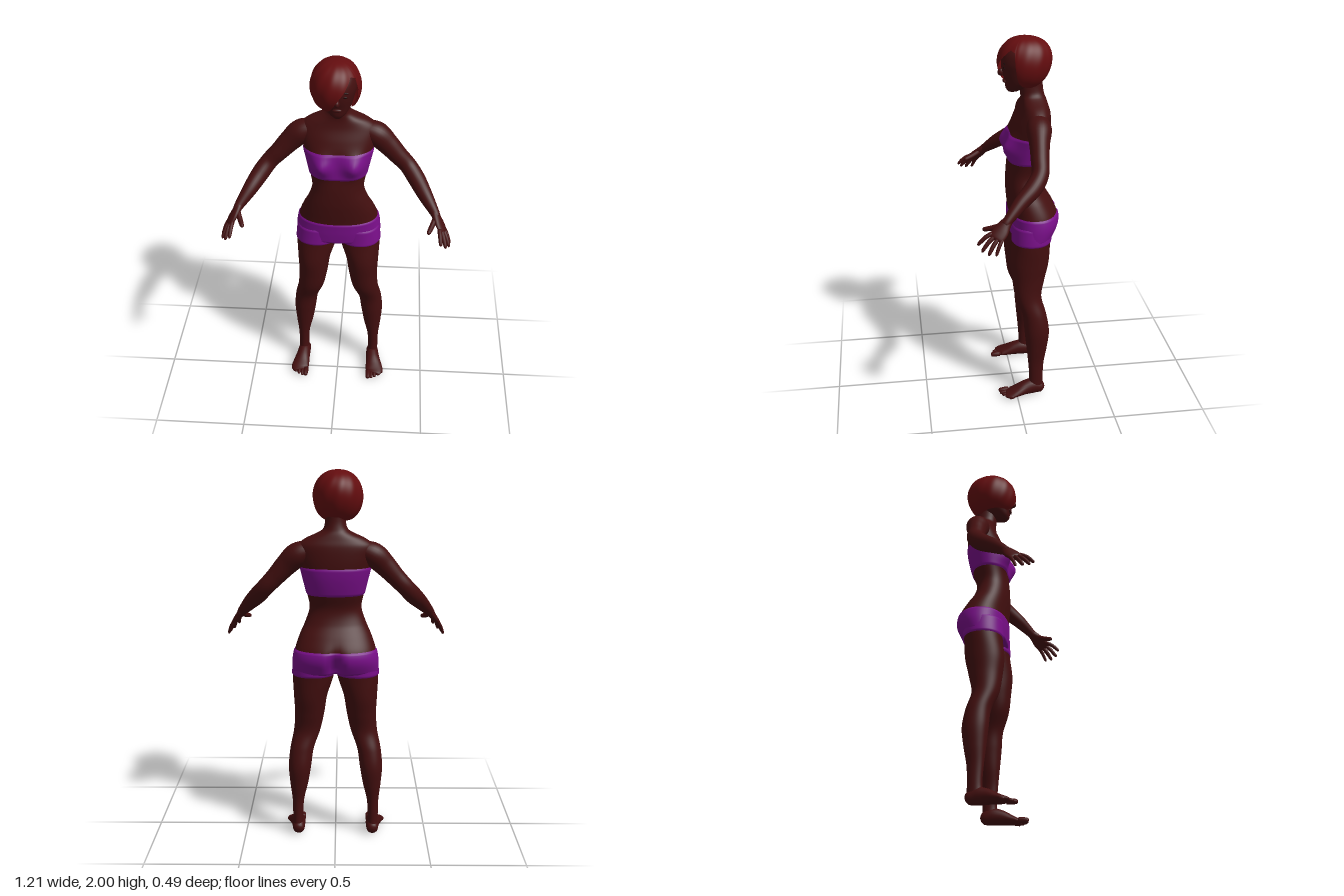
import * as THREE from 'three';

const mat = (name, color, side = THREE.FrontSide) => {
  const m = new THREE.MeshStandardMaterial({ color, side });
  m.name = name;
  return m;
};

// Grid surface closed around u; rows run along v, optional caps at both ends
function skinGrid(fn, nu, nv, capStart, capEnd) {
  const rows = [];
  for (let j = 0; j <= nv; j++) {
    const row = [];
    for (let i = 0; i < nu; i++) row.push(fn((i / nu) * Math.PI * 2, j / nv));
    rows.push(row);
  }
  const collapse = (row) => {
    const c = new THREE.Vector3();
    row.forEach((p) => c.addScaledVector(p, 1 / nu));
    return row.map(() => c);
  };
  if (capStart) rows.unshift(collapse(rows[0]));
  if (capEnd) rows.push(collapse(rows[rows.length - 1]));
  const index = [];
  for (let j = 0; j < rows.length - 1; j++) {
    for (let i = 0; i < nu; i++) {
      const a = j * nu + i, b = j * nu + ((i + 1) % nu);
      index.push(a, b, b + nu, a, b + nu, a + nu);
    }
  }
  const geo = new THREE.BufferGeometry().setFromPoints(rows.flat());
  geo.setIndex(index);
  geo.computeVertexNormals();
  return geo;
}

// Smooth interpolation of a table whose first column is the key
function sample(rows, key) {
  let k = 0;
  while (k < rows.length - 2 && key > rows[k + 1][0]) k++;
  const a = rows[k], b = rows[k + 1], p = rows[Math.max(k - 1, 0)], q = rows[Math.min(k + 2, rows.length - 1)];
  const h = b[0] - a[0], t = THREE.MathUtils.clamp((key - a[0]) / h, 0, 1);
  return a.map((v, c) => {
    const m0 = ((b[c] - p[c]) / (b[0] - p[0])) * h, m1 = ((q[c] - v) / (q[0] - a[0])) * h;
    return (2 * t ** 3 - 3 * t * t + 1) * v + (t ** 3 - 2 * t * t + t) * m0 + (3 * t * t - 2 * t ** 3) * b[c] + (t ** 3 - t * t) * m1;
  });
}

// Upright body part from rows [y, centre x, half width, front z, back z]
function upright(rows, y0, y1, nv, { grow = 0, sculpt, caps = [false, false], n = 2.2 } = {}) {
  const pow = (s) => Math.sign(s) * Math.abs(s) ** (2 / n);
  return skinGrid((a, v) => {
    const y = y0 + (y1 - y0) * v;
    const [, cx, w, zf, zb] = sample(rows, y);
    const g = grow * Math.min(1, v * 15, (1 - v) * 15);
    const x = (w + g) * pow(Math.sin(a));
    let z = (zf + zb) / 2 + ((zf - zb) / 2 + g) * pow(Math.cos(a));
    if (sculpt) z += sculpt(x, y, Math.cos(a));
    return new THREE.Vector3(cx + x, y, z);
  }, 64, nv, ...caps);
}

// Limb along a path from rows [x, y, z, radius along ref, other radius]
function limb(rows, ref, nv = 24, nu = 24) {
  const keyed = rows.map((r, i) => [i, ...r]), end = rows.length - 1;
  const at = (t) => new THREE.Vector3(...sample(keyed, t).slice(1, 4));
  return skinGrid((a, v) => {
    const t = v * end, s = sample(keyed, t);
    const dir = at(Math.min(t + 0.05, end)).sub(at(Math.max(t - 0.05, 0))).normalize();
    const u = ref.clone().addScaledVector(dir, -ref.dot(dir)).normalize();
    const w = dir.clone().cross(u);
    return at(t).addScaledVector(u, s[4] * Math.cos(a)).addScaledVector(w, s[5] * Math.sin(a));
  }, nu, nv, true, true);
}

// Finger or toe with a rounded tip
function digit(from, to, r, bend = 0) {
  const p = (t, k) => [0, 1, 2].map((c) => from[c] + (to[c] - from[c]) * t + (c === 1 ? bend * Math.sin(t * Math.PI) : 0)).concat(r * k, r * k);
  return limb([p(0, 1), p(0.45, 1), p(0.8, 0.88), p(0.94, 0.7), p(1, 0.25)], new THREE.Vector3(0.8, 0.1, 0.55), 12, 12);
}

const TORSO = [
  [0.94, 0, 0.226, 0.012, -0.21], [1.0, 0, 0.225, 0.018, -0.24], [1.04, 0, 0.22, 0.02, -0.246],
  [1.08, 0, 0.211, 0.022, -0.235], [1.14, 0, 0.19, 0.028, -0.2], [1.2, 0, 0.163, 0.032, -0.162],
  [1.28, 0, 0.138, 0.03, -0.146], [1.36, 0, 0.15, 0.022, -0.17], [1.44, 0, 0.168, 0.018, -0.19],
  [1.5, 0, 0.182, 0.012, -0.198], [1.56, 0, 0.195, -0.008, -0.2], [1.62, 0, 0.195, -0.035, -0.196],
  [1.655, 0, 0.155, -0.045, -0.186], [1.68, 0, 0.1, -0.048, -0.178], [1.7, 0, 0.066, -0.046, -0.17],
  [1.74, 0, 0.054, -0.042, -0.162], [1.8, 0, 0.053, -0.04, -0.16],
];
const LEG = [
  [0.04, 0.207, 0.03, -0.065, -0.15], [0.1, 0.208, 0.028, -0.072, -0.148], [0.2, 0.206, 0.032, -0.066, -0.152],
  [0.3, 0.2, 0.049, -0.056, -0.17], [0.4, 0.195, 0.061, -0.046, -0.181], [0.5, 0.183, 0.064, -0.036, -0.166],
  [0.6, 0.155, 0.072, 0, -0.142], [0.7, 0.141, 0.08, 0.015, -0.16], [0.8, 0.135, 0.09, 0.024, -0.182],
  [0.92, 0.119, 0.11, 0.012, -0.192], [1.02, 0.112, 0.108, 0.008, -0.2],
];
const HEAD = [
  [1.72, 0, 0.018, 0.018, -0.03], [1.738, 0, 0.042, 0.03, -0.07], [1.775, 0, 0.068, 0.036, -0.13],
  [1.83, 0, 0.085, 0.05, -0.17], [1.88, 0, 0.095, 0.052, -0.185], [1.93, 0, 0.086, 0.035, -0.175], [1.965, 0, 0.05, 0, -0.14],
];
// Lower hair edge: [azimuth in degrees from the front, polar angle in degrees]
const HAIRLINE = [
  [-180, 153], [-110, 150], [-60, 142], [-20, 139], [-8, 125], [10, 95], [30, 70],
  [46, 52], [60, 58], [68, 128], [78, 144], [120, 151], [180, 153],
];

// Chest fullness in front, cleft behind
const torsoSculpt = (x, y, c) => c > 0
  ? c ** 0.5 * 0.046 * Math.exp(-((Math.abs(x) - 0.092) ** 2) / 0.0027 - (y - 1.435) ** 2 / 0.0032)
  : (-c) ** 0.5 * 0.055 * Math.exp(-x * x / 0.0009 - (y - 0.98) ** 2 / 0.006);

export function createModel() {
  const skin = mat('skin', 0x430f0f), cloth = mat('purple cloth', 0x7a0f8a);
  const hairMat = mat('hair', 0x640d0f, THREE.DoubleSide), dark = mat('eye dark', 0x1c0606);
  const model = new THREE.Group();
  const add = (parent, name, geo, m) => {
    const mesh = new THREE.Mesh(geo, m);
    mesh.name = name;
    parent.add(mesh);
    return mesh;
  };
  const blob = (parent, name, m, pos, scale) => {
    const b = add(parent, name, new THREE.SphereGeometry(1, 20, 14), m);
    b.position.set(...pos);
    b.scale.set(...scale);
    return b;
  };

  // Torso with bandeau and shorts as close-fitting shells
  add(model, 'torso', upright(TORSO, 0.945, 1.8, 110, { sculpt: torsoSculpt }), skin);
  add(model, 'bandeau', upright(TORSO, 1.355, 1.505, 32, { sculpt: torsoSculpt, grow: 0.005 }), cloth);
  add(model, 'shorts', upright(TORSO, 0.942, 1.07, 30, { sculpt: torsoSculpt, grow: 0.005, caps: [true, false] }), cloth);

  // Head and face
  const head = new THREE.Group();
  head.name = 'head';
  model.add(head);
  add(head, 'face', upright(HEAD, 1.72, 1.965, 30, { caps: [true, true] }), skin);
  blob(head, 'nose', skin, [0, 1.822, 0.052], [0.014, 0.02, 0.02]);
  blob(head, 'lips', skin, [0, 1.776, 0.036], [0.024, 0.01, 0.01]);
  for (const s of [-1, 1]) {
    blob(head, 'eye', dark, [s * 0.036, 1.852, 0.043], [0.015, 0.006, 0.004]);
    blob(head, 'eyebrow', dark, [s * 0.038, 1.876, 0.042], [0.02, 0.004, 0.004]).rotation.z = s * -0.1;
  }

  // Bob with a swept fringe
  const edge = (deg) => {
    let k = 0;
    while (k < HAIRLINE.length - 2 && deg > HAIRLINE[k + 1][0]) k++;
    const [a0, p0] = HAIRLINE[k], [a1, p1] = HAIRLINE[k + 1];
    return p0 + ((p1 - p0) * (deg - a0)) / (a1 - a0);
  };
  const hair = skinGrid((u, v) => {
    const a = u > Math.PI ? u - 2 * Math.PI : u;
    const phi = Math.max(0.001, (1 - v) * THREE.MathUtils.degToRad(edge(THREE.MathUtils.radToDeg(a))));
    const r = Math.sin(phi) ** 0.85 * (1 + 0.01 * Math.sin(11 * a + 3 * phi));
    const back = Math.max(0, -Math.cos(a)) * Math.cos(phi) * Math.sin(phi) * 0.02;
    return new THREE.Vector3(-0.0125 + 0.13 * r * Math.sin(a), 1.865 + 0.135 * Math.cos(phi), -0.068 + 0.141 * r * Math.cos(a) - back);
  }, 120, 36, false, false);
  add(head, 'bobHair', hair, hairMat);

  // Arms and legs, mirrored across x
  const X = new THREE.Vector3(1, 0, 0), Z = new THREE.Vector3(0, 0, 1);
  const spread = new THREE.Vector3(0.49, -0.39, -0.78);
  const arm = limb([
    [0.12, 1.6, -0.113, 0.05, 0.045], [0.195, 1.57, -0.113, 0.064, 0.064], [0.255, 1.515, -0.106, 0.052, 0.058],
    [0.31, 1.455, -0.1, 0.047, 0.05], [0.365, 1.397, -0.092, 0.044, 0.046], [0.412, 1.343, -0.05, 0.045, 0.046],
    [0.46, 1.288, 0.02, 0.037, 0.039], [0.51, 1.228, 0.085, 0.025, 0.026], [0.525, 1.208, 0.105, 0.024, 0.02],
  ], Z, 48, 28);
  const palm = limb([
    [0.51, 1.228, 0.085, 0.024, 0.022], [0.525, 1.205, 0.108, 0.032, 0.02], [0.542, 1.18, 0.13, 0.04, 0.017],
    [0.557, 1.157, 0.152, 0.038, 0.013], [0.561, 1.15, 0.158, 0.03, 0.006],
  ], spread);
  const foot = limb([
    [0.205, 0.03, -0.156, 0.012, 0.012], [0.205, 0.034, -0.142, 0.03, 0.031], [0.206, 0.045, -0.1, 0.036, 0.045],
    [0.211, 0.04, -0.05, 0.04, 0.04], [0.219, 0.027, 0, 0.048, 0.027], [0.223, 0.019, 0.035, 0.05, 0.018],
    [0.218, 0.015, 0.06, 0.038, 0.012],
  ], X, 36);
  const tips = [[0.548, 1.12, 0.242], [0.575, 1.095, 0.225], [0.594, 1.083, 0.194], [0.598, 1.08, 0.158]];

  for (const [label, s] of [['left', 1], ['right', -1]]) {
    const limbs = new THREE.Group();
    limbs.name = label + 'Limbs';
    limbs.scale.x = s;
    model.add(limbs);
    add(limbs, 'arm', arm, skin);
    add(limbs, 'palm', palm, skin);
    tips.forEach((tip, i) => {
      const k = (i - 1.5) * 0.02;
      add(limbs, 'finger', digit([0.553 + k * 0.49, 1.163 - k * 0.39, 0.147 - k * 0.78], tip, i === 3 ? 0.0095 : 0.011, 0.008), skin);
    });
    add(limbs, 'thumb', digit([0.515, 1.205, 0.12], [0.48, 1.172, 0.21], 0.0135, -0.004), skin);

    add(limbs, 'leg', upright(LEG, 0.04, 1.0, 80, { caps: [true, true], n: 2.1 }), skin);
    add(limbs, 'shortsLeg', upright(LEG, 0.922, 1.02, 16, { grow: 0.005, n: 2.1 }), cloth);
    add(limbs, 'foot', foot, skin);
    for (let i = 0; i < 5; i++) {
      const x = 0.186 + i * 0.0195, r = i ? 0.0105 : 0.0145;
      add(limbs, 'toe', digit([x, 0.018, 0.045 - i * 0.006], [x + 0.001, r, 0.1 - i * i * 0.0028 - i * 0.002], r, 0.002), skin);
    }
  }
  return model;
}
